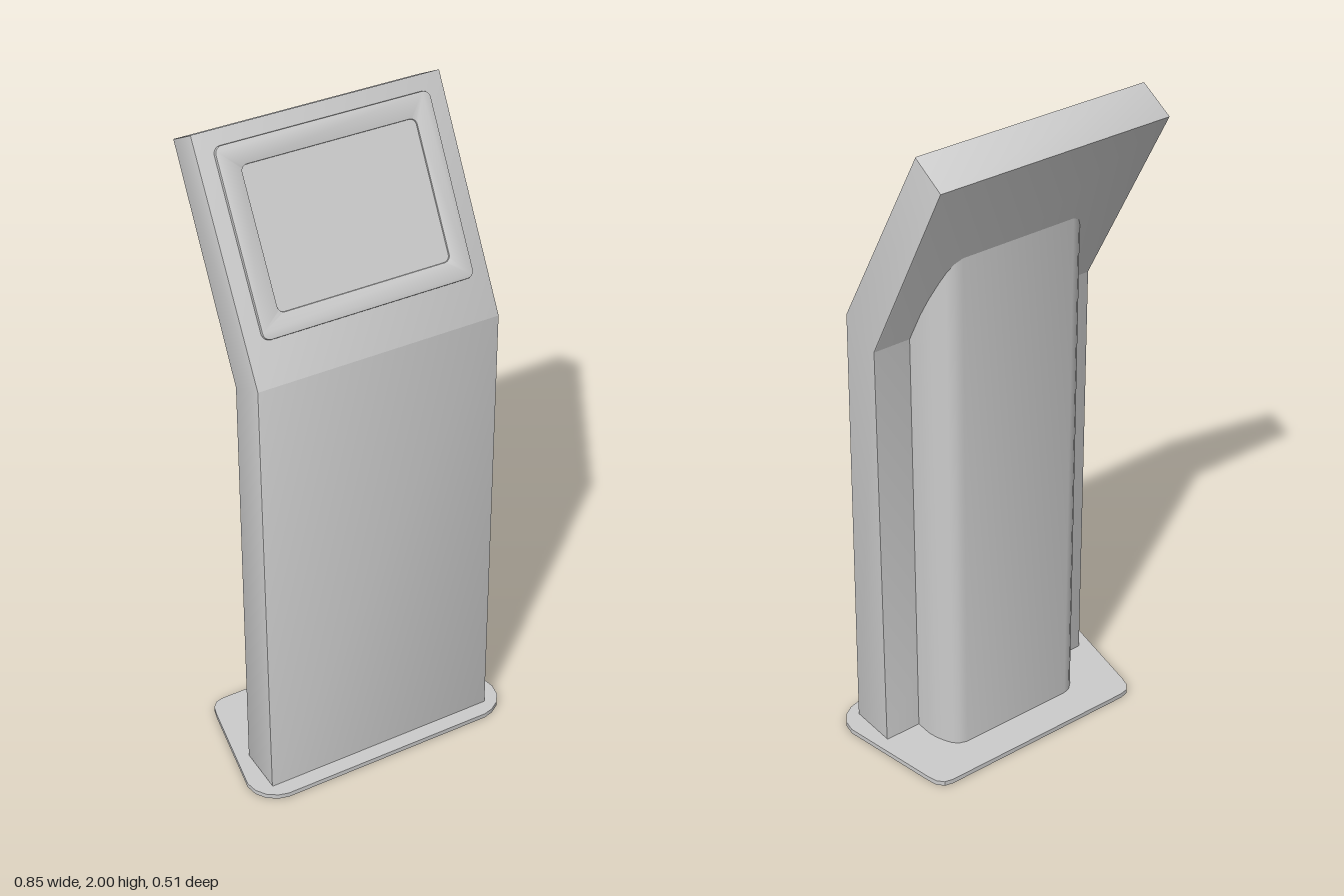
import * as THREE from 'three';
import { toCreasedNormals } from 'three/addons/utils/BufferGeometryUtils.js';

const material = new THREE.MeshStandardMaterial({ color: 0xcccccc });

function addMesh(parent, name, geometry) {
  const mesh = new THREE.Mesh(toCreasedNormals(geometry, 0.6), material);
  mesh.name = name;
  parent.add(mesh);
  return mesh;
}

// Half plan outline [x, z] from front to back, mirrored and raised along y
function planExtrude(half, height) {
  const mirrored = half.map(([x, z]) => [-x, z]).reverse();
  const shape = new THREE.Shape([...half, ...mirrored].map(([x, z]) => new THREE.Vector2(x, -z)));
  return new THREE.ExtrudeGeometry(shape, { depth: height, bevelEnabled: false }).rotateX(-Math.PI / 2);
}

// Rounded rectangle between two corners
function roundedRect(path, x0, y0, x1, y1, r) {
  path.moveTo(x0 + r, y0);
  path.lineTo(x1 - r, y0);
  path.absarc(x1 - r, y0 + r, r, -Math.PI / 2, 0);
  path.lineTo(x1, y1 - r);
  path.absarc(x1 - r, y1 - r, r, 0, Math.PI / 2);
  path.lineTo(x0 + r, y1);
  path.absarc(x0 + r, y1 - r, r, Math.PI / 2, Math.PI);
  path.lineTo(x0, y0 + r);
  path.absarc(x0 + r, y0 + r, r, Math.PI, Math.PI * 1.5);
  return path;
}

export function createModel() {
  const group = new THREE.Group();
  const baseTop = 0.015;

  // Foot plate: wide rounded front, tapering to the back
  addMesh(group, 'basePlate', planExtrude([
    [0.34, 0.255], [0.37, 0.247], [0.4, 0.227], [0.42, 0.197], [0.427, 0.16],
    [0.371, -0.15], [0.363, -0.18], [0.346, -0.199], [0.32, -0.205],
  ], baseTop));

  // Body and tilted head: one side profile [z, y] extruded across x
  const profile = [[0.207, baseTop], [0.185, 1.41], [-0.15, 2], [-0.255, 1.94], [0.057, 1.35], [0.057, baseTop]];
  const width = 0.74, bevel = 0.004;
  const bodyShape = new THREE.Shape(profile.map(([z, y]) => new THREE.Vector2(z, y)));
  const body = new THREE.ExtrudeGeometry(bodyShape, {
    depth: width - 2 * bevel, bevelThickness: bevel, bevelSize: bevel, bevelOffset: -bevel, bevelSegments: 2,
  });
  body.translate(0, 0, bevel - width / 2).rotateY(-Math.PI / 2);
  addMesh(group, 'body', body);

  // Rear column: rounded back corners, its top cut to meet the sloping head
  const column = planExtrude([
    [0.253, 0.06], [0.253, 0.005], [0.247, -0.025], [0.235, -0.055],
    [0.224, -0.074], [0.208, -0.088], [0.185, -0.095],
  ], 1);
  const pos = column.attributes.position;
  for (let i = 0; i < pos.count; i++) {
    const cut = 1.355 + (0.057 - pos.getZ(i)) * 1.89;
    pos.setY(i, pos.getY(i) > 0.5 ? cut : baseTop);
  }
  column.computeVertexNormals();
  addMesh(group, 'rearColumn', column);

  // Display set on the sloping face; local y runs up the slope, z outward
  const display = new THREE.Group();
  display.name = 'display';
  display.position.set(0, 1.41, 0.185);
  display.rotation.x = -Math.atan2(0.335, 0.59);
  group.add(display);

  const frame = roundedRect(new THREE.Shape(), -0.32, 0.122, 0.32, 0.635, 0.022);
  frame.holes.push(roundedRect(new THREE.Path(), -0.26, 0.182, 0.26, 0.572, 0.018));
  addMesh(display, 'screenFrame', new THREE.ExtrudeGeometry(frame, {
    depth: 0.008, bevelThickness: 0.003, bevelSize: 0.003, bevelOffset: -0.003, bevelSegments: 2, curveSegments: 5,
  }));

  const screen = roundedRect(new THREE.Shape(), -0.262, 0.18, 0.262, 0.574, 0.018);
  addMesh(display, 'screen', new THREE.ExtrudeGeometry(screen, { depth: 0.006, bevelEnabled: false, curveSegments: 5 }));

  return group;
}
